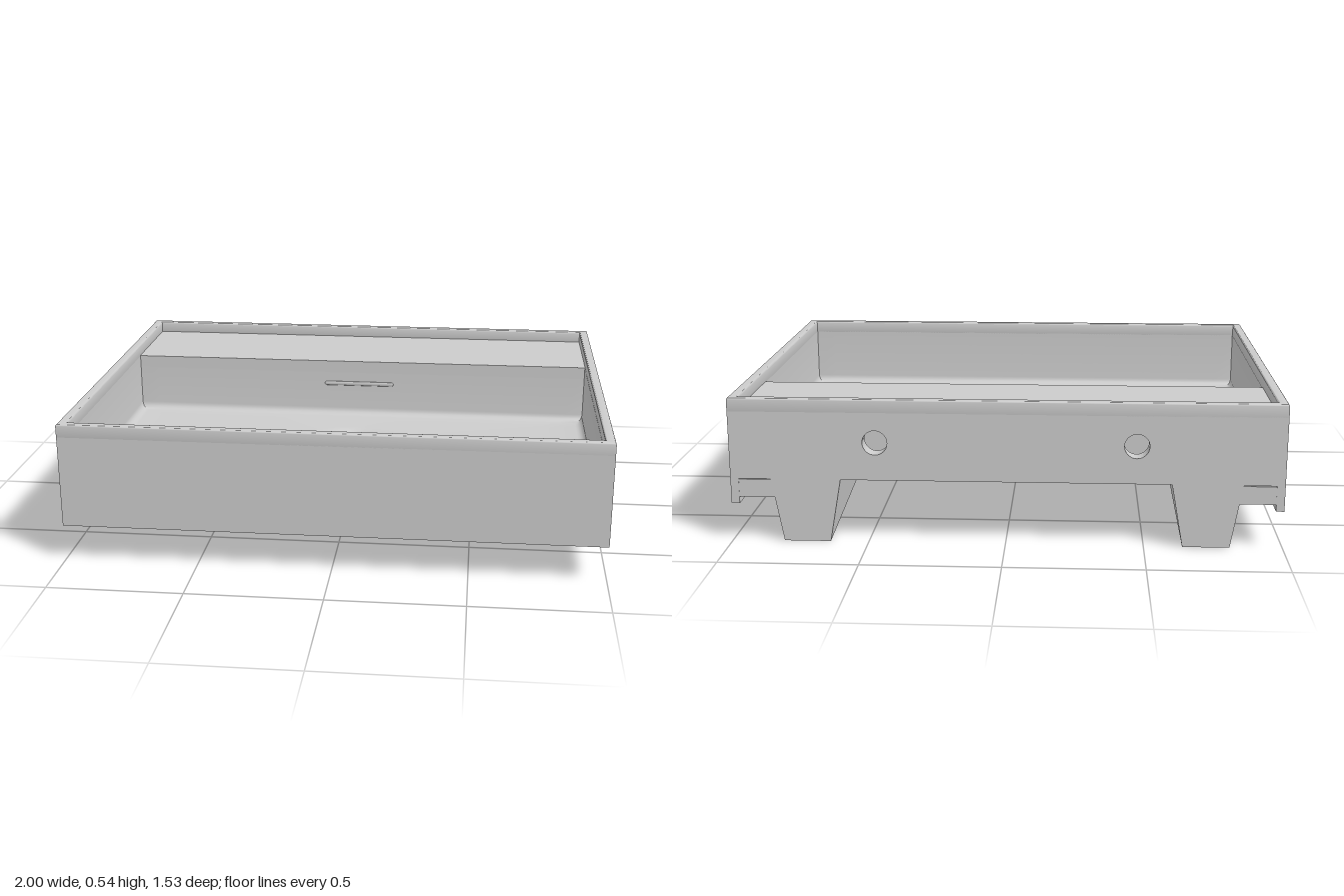
import * as THREE from 'three';
import { toCreasedNormals } from 'three/addons/utils/BufferGeometryUtils.js';

const material = new THREE.MeshStandardMaterial({ color: 0xcccccc, side: THREE.DoubleSide });
const DRAIN_Z = -0.03;

export function createModel() {
  const group = new THREE.Group();
  const add = (name, geometry, x = 0, y = 0, z = 0) => {
    const mesh = new THREE.Mesh(geometry, material);
    mesh.name = name;
    mesh.position.set(x, y, z);
    group.add(mesh);
    return mesh;
  };
  // Box given by its limits on each axis
  const block = (name, x0, x1, y0, y1, z0, z1) =>
    add(name, new THREE.BoxGeometry(x1 - x0, y1 - y0, z1 - z0), (x0 + x1) / 2, (y0 + y1) / 2, (z0 + z1) / 2);
  const rect = (x0, x1, y0, y1, Type = THREE.Shape) => {
    const s = new Type();
    s.moveTo(x0, y0); s.lineTo(x1, y0); s.lineTo(x1, y1); s.lineTo(x0, y1); s.closePath();
    return s;
  };
  const circle = (x, y, r) => new THREE.Path().absarc(x, y, r, 0, Math.PI * 2, true);

  // Top rim with softened edges
  const rimShape = rect(-0.994, 0.994, -0.759, 0.759);
  rimShape.holes.push(rect(-0.971, 0.971, -0.738, 0.738, THREE.Path));
  const rim = new THREE.ExtrudeGeometry(rimShape, {
    depth: 0.043, bevelSize: 0.006, bevelThickness: 0.006, bevelSegments: 3 });
  rim.rotateX(-Math.PI / 2);
  add('rim', toCreasedNormals(rim, 0.6), 0, 0.486, 0);

  // Outer walls
  for (const s of [-1, 1]) {
    block('sideWall', Math.min(s, s * 0.97), Math.max(s, s * 0.97), 0.14, 0.488, -0.765, 0.765);
  }
  block('frontWall', -0.97, 0.97, 0.14, 0.488, 0.735, 0.765);

  // Back wall, raised at the bottom, with two fixing holes
  const backShape = rect(-0.97, 0.97, 0.235, 0.488);
  for (const s of [-1, 1]) backShape.holes.push(circle(s * 0.47, 0.375, 0.045));
  add('backWall', new THREE.ExtrudeGeometry(backShape, { depth: 0.06, bevelEnabled: false, curveSegments: 24 }), 0, 0, -0.765);

  // Shelf behind the bowl
  block('shelf', -0.967, 0.967, 0.44, 0.49, -0.74, -0.314);
  block('bowlBackWall', -0.8, 0.8, 0.205, 0.445, -0.37, -0.325);

  add('bowl', bowlGeometry());

  // Overflow slot below the shelf edge
  const slot = new THREE.CapsuleGeometry(0.009, 0.28, 6, 12);
  slot.rotateZ(Math.PI / 2);
  slot.scale(1, 1, 0.5);
  add('overflowSlot', slot, 0, 0.39, -0.315);

  // Underside: recessed border and hollow ceiling with an opening for the drain
  for (const s of [-1, 1]) {
    block('undersideSideBand', s < 0 ? -0.972 : 0.8, s < 0 ? -0.8 : 0.972, 0.165, 0.232, -0.764, 0.737);
    add('cornerPad', new THREE.CylinderGeometry(0.03, 0.03, 0.01, 24), s * 0.89, 0.164, 0.64);
  }
  block('undersideFrontBand', -0.8, 0.8, 0.165, 0.232, 0.55, 0.737);
  const ceiling = rect(-0.8, 0.8, -0.55, 0.37);
  ceiling.holes.push(circle(0, -DRAIN_Z, 0.11));
  const ceilingGeometry = new THREE.ExtrudeGeometry(ceiling, { depth: 0.02, bevelEnabled: false, curveSegments: 24 });
  ceilingGeometry.rotateX(-Math.PI / 2);
  add('undersidePlate', ceilingGeometry, 0, 0.205, 0);

  // Drain outlet
  const outlet = [[0, 0.06], [0.1, 0.06], [0.111, 0.064], [0.115, 0.075], [0.119, 0.215]]
    .map(([r, y]) => new THREE.Vector2(r, y));
  add('drainOutlet', toCreasedNormals(new THREE.LatheGeometry(outlet, 48), 0.7), 0, 0, DRAIN_Z);

  // Wedge supports that taper downwards and rise towards the front
  for (const s of [-1, 1]) {
    add('supportWedge', wedge(-0.765, 0.48, 0.225), s * 0.725);
    add('supportBase', wedge(-0.765, -0.345, 0.45), s * 0.725);
  }
  return group;
}

// Box reshaped so its underside slopes and its flanks flare with height
function wedge(z0, z1, top) {
  const g = new THREE.BoxGeometry(1, 1, 1).toNonIndexed();
  const p = g.attributes.position;
  for (let i = 0; i < p.count; i++) {
    const z = p.getZ(i) < 0 ? z0 : z1;
    const y = p.getY(i) < 0 ? 0.164 * (z + 0.765) : top;
    p.setXYZ(i, Math.sign(p.getX(i)) * (0.085 + 0.18 * y), y, z);
  }
  g.computeVertexNormals();
  return g;
}

// Bowl lofted from a rectangle at the top to the round drain
function bowlGeometry() {
  const N = 24, corners = [[-1, -1], [1, -1], [1, 1], [-1, 1]];
  const rectPoint = (i, inset) => {
    const k = Math.floor(i / N) % 4, t = (i % N) / N;
    const a = corners[k], b = corners[(k + 1) % 4];
    const x = a[0] + (b[0] - a[0]) * t, z = a[1] + (b[1] - a[1]) * t;
    return [x * (0.964 - inset), 0.2085 + z * (0.5235 - inset)];
  };
  // Each row: inset from the walls, blend to the circle, circle radius, height
  const rows = [[0, 0, 0.13, 0.488], [0, 0, 0.13, 0.28]];
  for (let j = 1; j <= 5; j++) {
    const a = (j / 5) * Math.PI / 2;
    rows.push([0.03 * (1 - Math.cos(a)), 0, 0.13, 0.28 - 0.03 * Math.sin(a)]);
  }
  for (let j = 1; j <= 6; j++) rows.push([0.03, j / 6, 0.13, 0.25 - 0.013 * j / 6]);
  for (const [r, y] of [[0.115, 0.231], [0.1, 0.219], [0.087, 0.2], [0.078, 0.18], [0, 0.18]]) rows.push([0.03, 1, r, y]);

  const positions = [], index = [], M = 4 * N;
  rows.forEach(([inset, blend, radius, y], r) => {
    for (let i = 0; i < M; i++) {
      const [x, z] = rectPoint(i, inset);
      const angle = Math.atan2(z - DRAIN_Z, x);
      const cx = radius * Math.cos(angle), cz = DRAIN_Z + radius * Math.sin(angle);
      positions.push(x + (cx - x) * blend, y, z + (cz - z) * blend);
      if (r > 0) {
        const a = (r - 1) * M + i, b = (r - 1) * M + (i + 1) % M;
        index.push(a, a + M, b, b, a + M, b + M);
      }
    }
  });
  // Corner order is chosen so the faces point into the bowl
  for (let i = 0; i < index.length; i += 3) [index[i + 1], index[i + 2]] = [index[i + 2], index[i + 1]];
  const g = new THREE.BufferGeometry();
  g.setAttribute('position', new THREE.Float32BufferAttribute(positions, 3));
  g.setIndex(index);
  return toCreasedNormals(g, 0.7);
}
